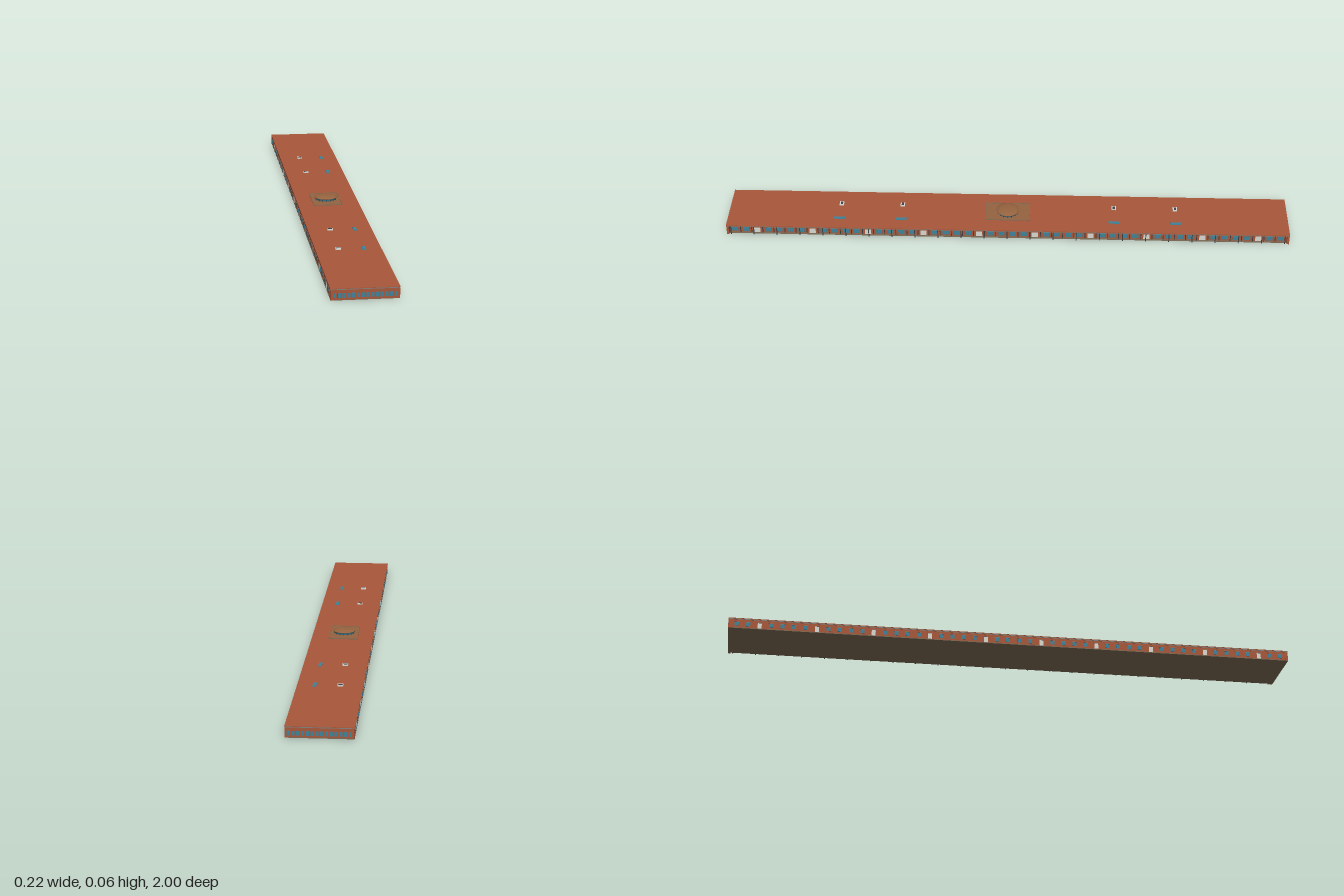
import * as THREE from 'three';

const colour = (name, hex) => {
  const m = new THREE.MeshStandardMaterial({ color: hex });
  m.name = name;
  return m;
};

export function createModel() {
  const brick = colour('brick', 0xa8573a);
  const glass = colour('glass', 0x3f8299);
  const stone = colour('stone', 0x7d6a55);
  const pale = colour('pale panel', 0xd8d8d0);
  const steel = colour('dark steel', 0x3c4044);
  const bronze = colour('bronze roof', 0x96633f);
  const trim = colour('grey trim', 0x85807a);

  const model = new THREE.Group();
  const group = (name) => {
    const g = new THREE.Group();
    g.name = name;
    model.add(g);
    return g;
  };
  // Box given by its low and high corners
  const box = (parent, name, mat, x0, x1, y0, y1, z0, z1) => {
    const m = new THREE.Mesh(new THREE.BoxGeometry(x1 - x0, y1 - y0, z1 - z0), mat);
    m.position.set((x0 + x1) / 2, (y0 + y1) / 2, (z0 + z1) / 2);
    m.name = name;
    parent.add(m);
    return m;
  };

  // Long body under a flat roof that overhangs the +x side
  const body = group('building');
  box(body, 'floorSlab', stone, -0.108, 0.1, 0, 0.003, -0.999, 0.999);
  box(body, 'mainWalls', brick, -0.107, 0.095, 0.003, 0.0335, -0.998, 0.998);
  box(body, 'roofTrim', trim, -0.108, 0.107, 0.0335, 0.0365, -0.999, 0.999);
  box(body, 'roof', brick, -0.109, 0.108, 0.0365, 0.0385, -1, 1);

  // End walls, each with a row of tall windows
  for (const s of [-1, 1]) {
    const end = group(s > 0 ? 'frontEnd' : 'backEnd');
    box(end, 'endWall', brick, -0.1085, 0.1075, 0.0005, 0.0335, s * 0.995 - 0.004, s * 0.995 + 0.004);
    for (let i = 0; i < 14; i++) {
      const x = -0.0955 + i * 0.0147;
      box(end, 'endWindow', glass, x - 0.005, x + 0.005, 0.008, 0.023, s * 0.999 - 0.0008, s * 0.999 + 0.0008);
    }
  }

  // Plain long wall with narrow windows and an occasional pale door
  const plain = group('plainSide');
  for (let i = 0; i < 50; i++) {
    const z = -0.97 + i * 0.0396;
    const door = i % 5 === 2;
    box(plain, door ? 'door' : 'window', door ? pale : glass,
      -0.1082, -0.1065, door ? 0.003 : 0.009, 0.023, z - 0.007, z + 0.007);
    box(plain, 'windowSill', trim, -0.1086, -0.1065, 0.0235, 0.025, z - 0.009, z + 0.009);
  }

  // Colonnade: glazing and pale doors behind slim posts
  const arcade = group('colonnade');
  for (let i = 0; i < 50; i++) {
    const z = -0.97 + i * 0.0396;
    const door = i % 5 === 2;
    box(arcade, door ? 'dockDoor' : 'storefront', door ? pale : glass,
      0.0945, 0.0962, door ? 0.003 : 0.007, 0.023, z - 0.011, z + 0.011);
    box(arcade, 'mullion', steel, 0.0945, 0.0975, 0.003, 0.0335, z + 0.0185, z + 0.0213);
  }
  for (let i = 0; i <= 24; i++) {
    const z = -0.984 + i * 0.082;
    box(arcade, 'post', steel, 0.1035, 0.1065, 0, 0.0335, z - 0.0015, z + 0.0015);
  }

  // Roof vents and flat skylights
  const fittings = group('roofFittings');
  for (const z of [-0.6, -0.38, 0.38, 0.6]) {
    box(fittings, 'vent', pale, -0.044, -0.025, 0.0385, 0.043, z - 0.008, z + 0.008);
    box(fittings, 'ventCap', steel, -0.042, -0.027, 0.043, 0.0435, z - 0.004, z + 0.004);
    box(fittings, 'skylight', glass, 0.044, 0.056, 0.0385, 0.0405, z - 0.02, z + 0.02);
  }

  // Plinth with low kerbs in the centre of the roof
  const cx = -0.0035;
  const plinth = group('domePlinth');
  box(plinth, 'plinthSlab', bronze, cx - 0.05, cx + 0.05, 0.0385, 0.0397, -0.078, 0.078);
  for (const s of [-1, 1]) {
    box(plinth, 'sideKerb', stone, cx + s * 0.05 - 0.001, cx + s * 0.05 + 0.001, 0.0385, 0.041, -0.08, 0.08);
    box(plinth, 'endKerb', stone, cx - 0.05, cx + 0.05, 0.0385, 0.041, s * 0.078 - 0.001, s * 0.078 + 0.001);
  }

  // Shallow dome on a glazed drum
  const dome = group('dome');
  dome.position.x = cx;
  const drum = new THREE.Mesh(new THREE.CylinderGeometry(0.037, 0.034, 0.009, 32), glass);
  drum.position.y = 0.0435;
  drum.name = 'glazedDrum';
  dome.add(drum);
  for (let i = 0; i < 16; i++) {
    const a = (i / 16) * Math.PI * 2;
    const rib = box(dome, 'drumRib', steel, -0.001, 0.001, 0.0395, 0.0485, -0.001, 0.001);
    rib.position.x = Math.sin(a) * 0.037;
    rib.position.z = Math.cos(a) * 0.037;
    rib.rotation.y = a;
  }
  const cap = [[0, 0.0478], [0.04, 0.0478], [0.04, 0.0495], [0.034, 0.0525], [0.024, 0.0548], [0.012, 0.056], [0, 0.0563]];
  const shell = new THREE.Mesh(
    new THREE.LatheGeometry(cap.map(([r, y]) => new THREE.Vector2(r, y)), 32), bronze);
  shell.name = 'domeCap';
  dome.add(shell);

  return model;
}
